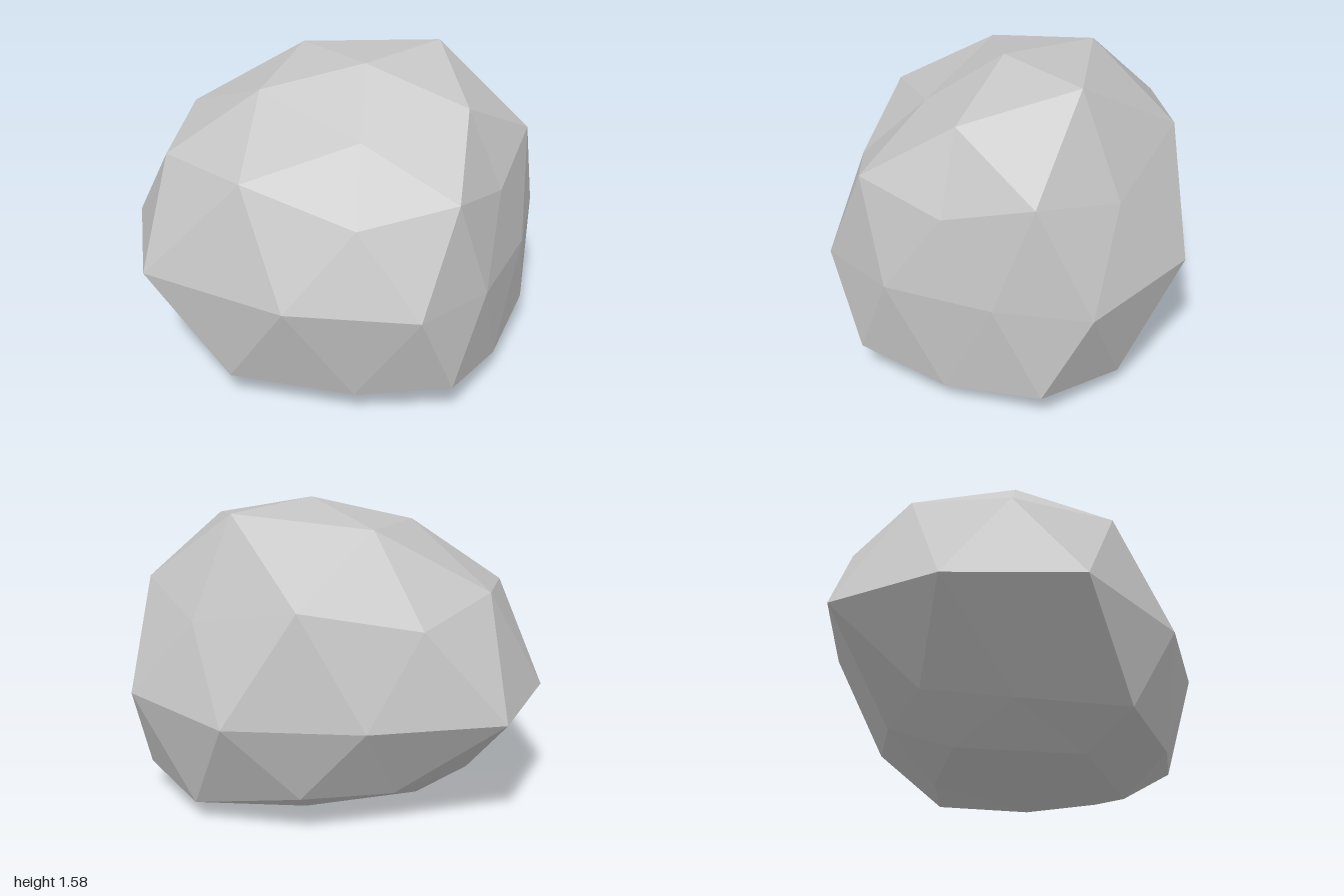
import * as THREE from 'three';

const stone = new THREE.MeshStandardMaterial({ name: 'pale stone grey', color: 0xc6c6c6, flatShading: true });

// Rings of the faceted ball: polar radius, height, first angle (degrees), and how far each corner is pushed out
const RINGS = {
  T: { rad: 0, h: 1, start: 0, push: [0.83] },
  A: { rad: 0.5257, h: 0.8507, start: 0, push: [0.835, 0.717, 0.846, 0.91, 0.967] },
  B: { rad: 0.8944, h: 0.4472, start: 0, push: [0.81, 0.776, 0.95, 0.93, 0.846] },
  C: { rad: 0.8507, h: 0.5257, start: 36, push: [0.88, 0.918, 0.93, 0.964, 0.923] },
  E: { rad: 1, h: 0, start: 18, push: [0.92, 0.84, 0.903, 1.075, 0.987, 1.018, 0.884, 0.97, 0.913, 0.88] },
  F: { rad: 0.8944, h: -0.4472, start: 36, push: [0.913, 0.975, 0.795, 0.825, 0.955] },
  D: { rad: 0.8507, h: -0.5257, start: 0, push: [0.903, 0.85, 0.75, 0.75, 0.915] },
  G: { rad: 0.5257, h: -0.8507, start: 36, push: [0.98, 0.98, 0.928, 0.86, 0.9] },
  P: { rad: 0, h: -1, start: 0, push: [0.94] },
};

// Beyond a limit the bulge is pressed nearly flat
const press = (v, limit, slope) => (v > limit ? limit + slope * (v - limit) : v);

function corner(name, i) {
  const { rad, h, start, push } = RINGS[name];
  const n = push.length;
  const k = i % n;
  const a = THREE.MathUtils.degToRad(start + (360 / n) * k);
  const r = push[k];
  const x = press(1.25 * r * rad * Math.cos(a), 0.66, 0.3); // flattened side
  const y = -press(-1.13 * r * h, 0.535, 0.2); // flattened underside
  const z = r * rad * Math.sin(a);
  return [x + 0.21, y + 0.64, z + 0.03];
}

function boulderGeometry() {
  const positions = [];
  const face = (a, b, c) => positions.push(...corner(...c), ...corner(...b), ...corner(...a));
  for (let k = 0; k < 5; k++) {
    const n = k + 1;
    const e0 = ['E', 2 * k], e1 = ['E', 2 * k + 1], e2 = ['E', 2 * k + 2];
    const T = ['T', 0], P = ['P', 0];
    const A = ['A', k], A2 = ['A', n], B = ['B', k], B2 = ['B', n], C = ['C', k];
    const F = ['F', k], F2 = ['F', n], D = ['D', n], G = ['G', k], G2 = ['G', n];
    // Crown
    face(T, A, A2);
    face(A, B, C);
    face(A, C, A2);
    face(A2, C, B2);
    // Belt, pointing down
    face(B, e0, C);
    face(C, e0, e1);
    face(C, e1, B2);
    face(e0, F, e1);
    // Belt, pointing up
    face(F, D, e1);
    face(e1, D, e2);
    face(e2, D, F2);
    face(B2, e1, e2);
    // Underside
    face(F, G, D);
    face(D, G, G2);
    face(D, G2, F2);
    face(P, G2, G);
  }
  const geometry = new THREE.BufferGeometry();
  geometry.setAttribute('position', new THREE.Float32BufferAttribute(positions, 3));
  geometry.computeVertexNormals();
  return geometry;
}

export function createModel() {
  const group = new THREE.Group();
  group.name = 'rock';
  const boulder = new THREE.Mesh(boulderGeometry(), stone);
  boulder.name = 'boulder';
  group.add(boulder);
  return group;
}
